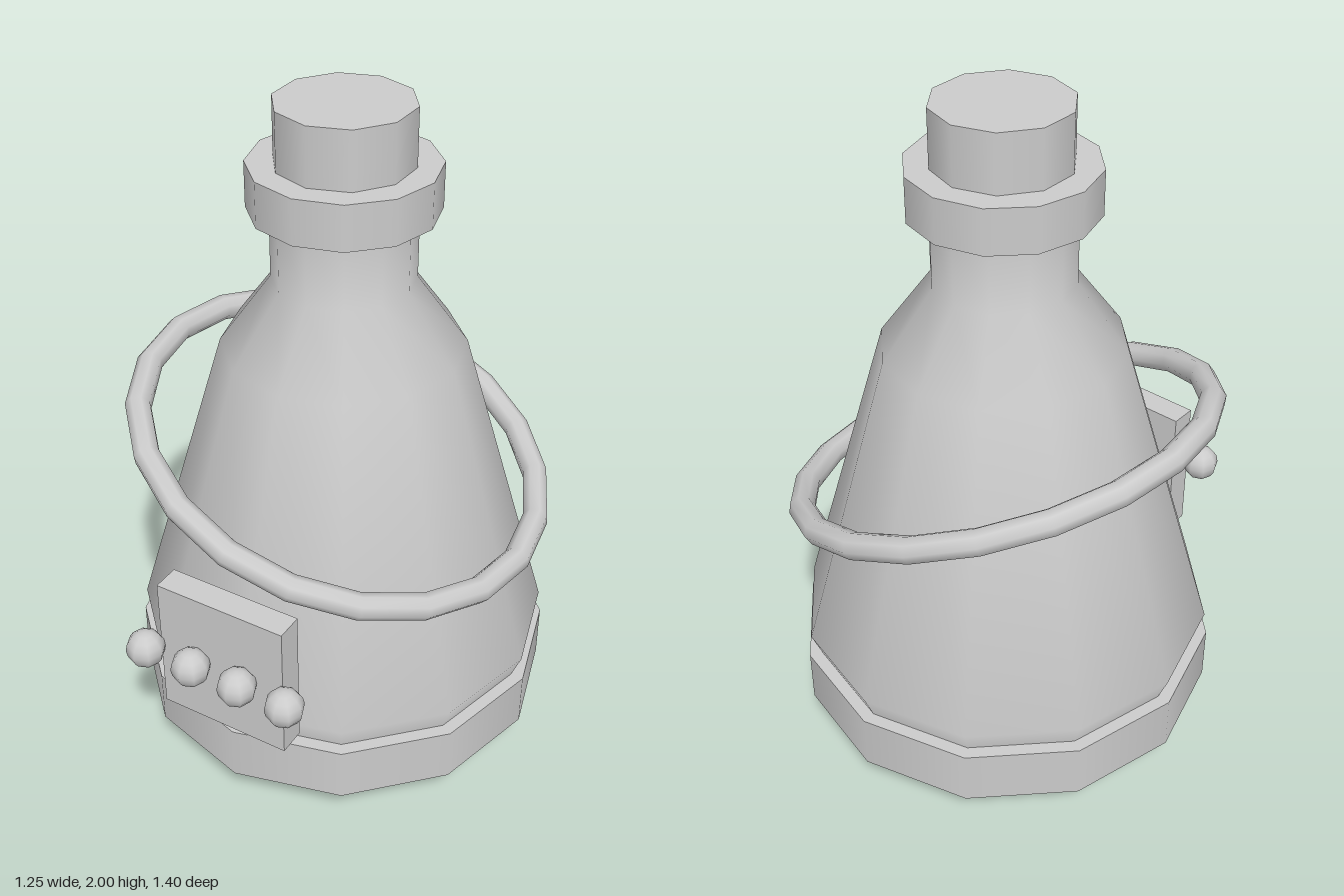
import * as THREE from 'three';

export function createModel() {
  const model = new THREE.Group();
  const material = new THREE.MeshStandardMaterial({ color: 0xcccccc });

  function add(name, geometry, x, y, z, parent = model) {
    const mesh = new THREE.Mesh(geometry, material);
    mesh.name = name;
    mesh.position.set(x, y, z);
    parent.add(mesh);
    return mesh;
  }

  // Round parts share one vertical axis
  const flask = new THREE.Group();
  flask.name = 'flask';
  flask.position.set(-0.003, 0, -0.055);
  model.add(flask);

  // Body: base, tapered foot, cone, shoulder and neck
  const profile = [[0, 0], [0.463, 0], [0.613, 0.385], [0.345, 1.3], [0.2, 1.5], [0.2, 1.75]];
  const points = profile.map(([r, y]) => new THREE.Vector2(r, y));
  add('body', new THREE.LatheGeometry(points, 12), 0, 0, 0, flask);

  // Cylinder standing between two heights
  const drum = (name, r, y0, y1, sides) =>
    add(name, new THREE.CylinderGeometry(r, r, y1 - y0, sides), 0, (y0 + y1) / 2, 0, flask);
  drum('baseBand', 0.623, 0.143, 0.312, 12);
  drum('neckCollar', 0.262, 1.705, 1.835, 12);
  drum('stopper', 0.192, 1.72, 2, 10);

  // Tilted hoop around the body, high on the model's right
  const hoop = new THREE.TorusGeometry(0.606, 0.038, 8, 20);
  hoop.rotateX(Math.PI / 2);
  add('hoop', hoop, 0, 0.957, 0, flask).rotation.z = -THREE.MathUtils.degToRad(20);

  // Front panel with a row of beads
  add('frontPanel', new THREE.BoxGeometry(0.4, 0.425, 0.08), -0.003, 0.588, 0.566);
  const bead = new THREE.SphereGeometry(0.056, 8, 8);
  for (let i = 0; i < 4; i++) {
    add('bead' + (i + 1), bead, -0.003 + (i - 1.5) * 0.152, 0.59, 0.643);
  }

  return model;
}
